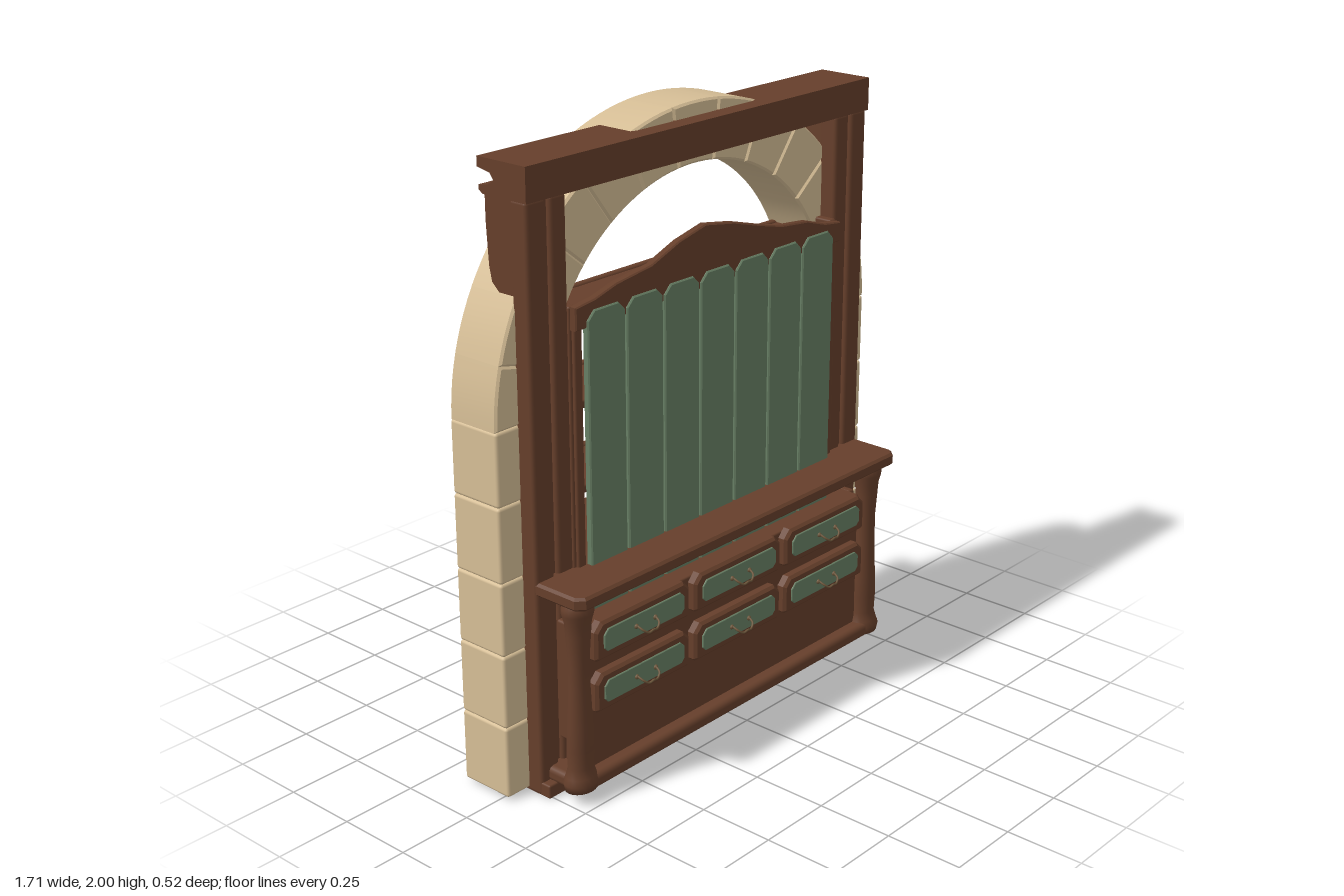
import * as THREE from 'three';
import { toCreasedNormals } from 'three/addons/utils/BufferGeometryUtils.js';
import { RoundedBoxGeometry } from 'three/addons/geometries/RoundedBoxGeometry.js';

const material = (name, color) => Object.assign(new THREE.MeshStandardMaterial({ color }), { name });

export function createModel() {
  const model = new THREE.Group();
  model.name = 'archedDresser';
  const wood = material('brown wood', 0x663f2b);
  const stone = material('sandstone', 0xd6be96);
  const green = material('green paint', 0x677f64);
  const metal = material('aged handle metal', 0x6e573b);

  const add = (name, geo, mat, parent = model) => {
    const mesh = new THREE.Mesh(geo, mat);
    mesh.name = name;
    parent.add(mesh);
    return mesh;
  };
  // Softly rounded block given by its limits
  const block = (name, mat, [x0, x1], [y0, y1], [z0, z1], r = 0.006) => {
    const w = x1 - x0, h = y1 - y0, d = z1 - z0;
    const mesh = add(name, new RoundedBoxGeometry(w, h, d, 2, Math.min(r, w / 2.1, h / 2.1, d / 2.1)), mat);
    mesh.position.set((x0 + x1) / 2, (y0 + y1) / 2, (z0 + z1) / 2);
    return mesh;
  };
  const outline = (pts) => new THREE.Shape(pts.map(([x, y]) => new THREE.Vector2(x, y)));
  // Bevelled plate drawn in x-y and running from z0 to z1
  const plate = (name, mat, shape, z0, z1, b = 0.005) => {
    const geo = new THREE.ExtrudeGeometry(shape, {
      depth: z1 - z0 - 2 * b, bevelEnabled: b > 0, bevelThickness: b, bevelSize: b, bevelOffset: -b, bevelSegments: 1, curveSegments: 8,
    });
    geo.translate(0, 0, z0 + b);
    return add(name, toCreasedNormals(geo, 0.5), mat);
  };
  // Profile drawn as (z, y) and running from x0 to x1
  const moulding = (name, mat, pts, x0, x1) => {
    const geo = new THREE.ExtrudeGeometry(outline(pts.map(([z, y]) => [-z, y])), { depth: x1 - x0, bevelEnabled: false });
    geo.rotateY(Math.PI / 2);
    geo.translate(x0, 0, 0);
    return add(name, toCreasedNormals(geo, 0.6), mat);
  };
  // Rectangle with cut corners
  const cutRect = (x0, x1, y0, y1, c, cb = c) => outline([
    [x0 + cb, y0], [x1 - cb, y0], [x1, y0 + cb], [x1, y1 - c], [x1 - c, y1], [x0 + c, y1], [x0, y1 - c], [x0, y0 + cb]]);

  // Stone arch: straight piers and thirteen wedge stones
  const joints = [0.01, 0.245, 0.483, 0.718, 0.958, 1.19];
  for (const s of [-1, 1])
    for (let i = 0; i < 5; i++)
      block('pierStone', stone, s < 0 ? [-0.855, -0.645] : [0.645, 0.855], [joints[i], joints[i + 1]], [-0.16, 0.03], 0.01);
  for (let i = 0; i < 13; i++) {
    const pts = [];
    const point = (k, rx, ry) => {
      const a = ((i + k / 5) * Math.PI) / 13;
      pts.push([rx * Math.cos(a), 1.19 + ry * Math.sin(a)]);
    };
    for (let k = 0; k <= 5; k++) point(k, 0.855, 0.81);
    for (let k = 5; k >= 0; k--) point(k, 0.645, 0.62);
    plate('archStone', stone, outline(pts), -0.16, 0.03, 0.007);
  }

  // Top beam with a moulded back, corbels and tall posts
  moulding('topBeam', wood, [[0.09, 1.85], [0.09, 1.955], [-0.1, 1.955], [-0.1, 1.925], [-0.05, 1.915], [-0.035, 1.895],
    [-0.06, 1.88], [-0.095, 1.875], [-0.095, 1.86], [-0.08, 1.85]], -0.77, 0.77);
  for (const s of [-1, 1]) {
    const span = (a, b) => (s > 0 ? [a, b] : [-b, -a]);
    const [c0, c1] = span(0.62, 0.755);
    moulding('corbel', wood, [[0.05, 1.85], [-0.088, 1.85], [-0.088, 1.77], [-0.08, 1.64], [-0.07, 1.595], [-0.04, 1.567],
      [0, 1.56], [0.03, 1.565], [0.05, 1.57]], c0, c1);
    block('postOuter', wood, span(0.69, 0.767), [0, 1.855], [0.02, 0.085], 0.012);
    block('postInner', wood, span(0.61, 0.675), [0.04, 1.855], [0.02, 0.085], 0.012);
    block('postCore', wood, span(0.63, 0.74), [0.04, 1.85], [0.025, 0.07]);
    block('caseSide', wood, span(0.585, 0.615), [0.7, 1.52], [-0.13, 0.09]);
    block('caseStile', wood, span(0.572, 0.605), [0.57, 1.51], [0.08, 0.1]);
  }

  // Peaked headboard with a raised ridge on the back
  const crest = [[-0.61, 1.52], [-0.53, 1.53], [-0.44, 1.555], [-0.29, 1.575], [-0.17, 1.62], [-0.05, 1.647], [0.08, 1.625],
    [0.2, 1.592], [0.31, 1.565], [0.44, 1.552], [0.53, 1.525], [0.61, 1.515]];
  plate('headboard', wood, outline([[-0.61, 1.45], [0.61, 1.45], ...crest.slice().reverse()]), 0.085, 0.113, 0.004);
  const lower = crest.map(([x, y]) => [x, y - 0.018]);
  plate('headboardRidge', wood, outline([...lower.map(([x, y]) => [x, y - 0.025]), ...lower.slice().reverse()]), 0.065, 0.09, 0.004);

  // Seven painted planks with narrow gaps
  for (let i = 0; i < 7; i++) {
    const x = (i - 3) * 0.163;
    plate('plank', green, cutRect(x - 0.078, x + 0.078, 0.55, 1.5, 0.028, 0.004), 0.095, 0.119, 0.004);
  }

  // Shelves with a lip and small end brackets
  for (const y of [0.95, 1.215, 1.465]) {
    block('shelf', wood, [-0.6, 0.6], [y - 0.013, y + 0.013], [-0.125, 0.095]);
    block('shelfLip', wood, [-0.61, 0.61], [y - 0.02, y + 0.02], [-0.145, -0.12], 0.009);
    for (const s of [-1, 1]) {
      const bracket = [[0.59, 0], [0.51, 0], [0.515, -0.025], [0.545, -0.035], [0.555, -0.06], [0.575, -0.075], [0.59, -0.1]];
      const pts = bracket.map(([x, d]) => [s * x, y - 0.01 + d]);
      plate('shelfBracket', wood, outline(s > 0 ? pts : pts.reverse()), -0.125, -0.095, 0.004);
    }
  }

  // Countertop, cabinet bodies and base
  const topShape = cutRect(-0.765, 0.765, -0.26, 0.26, 0.025);
  const top = plate('countertop', wood, topShape, 0, 0.043, 0.008);
  top.rotation.x = -Math.PI / 2;
  top.position.y = 0.667;
  block('rearBody', wood, [-0.67, 0.67], [0.04, 0.67], [-0.2, 0.08]);
  block('frontBody', wood, [-0.66, 0.66], [0.04, 0.565], [0.07, 0.18]);
  block('base', wood, [-0.735, 0.735], [0.038, 0.088], [-0.235, 0.225], 0.018);
  for (const s of [-1, 1]) {
    block('sidePanel', wood, s > 0 ? [0.655, 0.685] : [-0.685, -0.655], [0.17, 0.565], [0.08, 0.145], 0.008);
    // Scalloped feet
    block('foot', wood, s > 0 ? [0.62, 0.765] : [-0.765, -0.62], [0, 0.045], [-0.09, 0.115]);
    for (const z of [-0.06, 0.01, 0.07])
      add('footLobe', new THREE.CylinderGeometry(0.045, 0.045, 0.045, 20), wood).position.set(s * (z === 0.01 ? 0.585 : 0.62), 0.0225, z);
    // Turned corner columns
    const profile = [[0, 0.04], [0.055, 0.045], [0.06, 0.07], [0.052, 0.09], [0.043, 0.12], [0.046, 0.18], [0.043, 0.26], [0.037, 0.38],
      [0.036, 0.48], [0.042, 0.56], [0.045, 0.6], [0.054, 0.63], [0.054, 0.65], [0.045, 0.67]];
    for (const z of [0.185, -0.195]) {
      const column = add('cornerColumn', new THREE.LatheGeometry(profile.map(([r, y]) => new THREE.Vector2(r, y)), 20), wood);
      column.position.set(s * 0.7, 0, z);
      column.scale.z = 0.82;
    }
  }

  // Six drawers with painted panels and bail handles
  const bail = new THREE.TubeGeometry(new THREE.CatmullRomCurve3([[-0.042, 0.004, 0], [-0.036, -0.008, 0.022], [-0.018, -0.02, 0.03],
    [0, -0.016, 0.032], [0.018, -0.02, 0.03], [0.036, -0.008, 0.022], [0.042, 0.004, 0]].map((p) => new THREE.Vector3(...p))), 24, 0.0035, 6);
  for (const x of [-0.443, 0, 0.443])
    for (const y of [0.342, 0.512]) {
      plate('drawerFront', wood, cutRect(x - 0.21, x + 0.21, y - 0.062, y + 0.063, 0.028, 0.008), 0.17, 0.212, 0.009);
      plate('drawerPanel', green, cutRect(x - 0.178, x + 0.178, y - 0.036, y + 0.037, 0.018, 0.014), 0.209, 0.217, 0.002);
      const handle = new THREE.Group();
      handle.name = 'drawerHandle';
      handle.position.set(x, y, 0.217);
      add('bail', bail, metal, handle);
      for (const s of [-1, 1]) add('handleRosette', new THREE.SphereGeometry(0.008, 10, 8), metal, handle).position.x = s * 0.042;
      model.add(handle);
    }

  // Wavy apron below the counter on the back
  const wave = [];
  for (let i = 0; i <= 36; i++) {
    const x = -0.66 + (i * 1.32) / 36;
    wave.push([x, 0.575 - 0.022 * Math.cos((x / 0.44) * Math.PI * 2)]);
  }
  plate('rearApron', wood, outline([...wave, [0.66, 0.672], [-0.66, 0.672]]), -0.248, -0.19, 0.005);

  // Three rear doors with framed panels and a carved sprig
  for (const x of [-0.43, 0, 0.43]) {
    const frame = cutRect(x - 0.195, x + 0.195, 0.1, 0.575, 0.005);
    frame.holes.push(new THREE.Path(cutRect(x - 0.165, x + 0.165, 0.135, 0.53, 0.03, 0.005).getPoints()));
    plate('doorFrame', wood, frame, -0.232, -0.195, 0.005);
    block('doorPanel', wood, [x - 0.15, x + 0.15], [0.15, 0.515], [-0.215, -0.195], 0.009);
    const stem = new THREE.CatmullRomCurve3([[0.02, 0.21], [0, 0.27], [0.01, 0.34], [-0.005, 0.41]]
      .map(([a, b]) => new THREE.Vector3(x + a, b, -0.217)));
    add('carvedStem', new THREE.TubeGeometry(stem, 16, 0.007, 6), wood);
    for (const [dx, y, turn] of [[0, 0.44, 0], [-0.065, 0.385, 0.85], [0.07, 0.39, -0.85], [-0.06, 0.305, 1.15], [0.065, 0.3, -1.15]]) {
      const leaf = add('carvedLeaf', new THREE.SphereGeometry(1, 14, 10), wood);
      leaf.scale.set(0.022, 0.045, 0.022);
      leaf.position.set(x + dx, y, -0.217);
      leaf.rotation.z = turn;
    }
  }
  for (const x of [-0.645, -0.215, 0.215, 0.645])
    block('doorDivider', wood, [x - 0.019, x + 0.019], [0.08, 0.57], [-0.25, -0.195], 0.012);

  return model;
}
